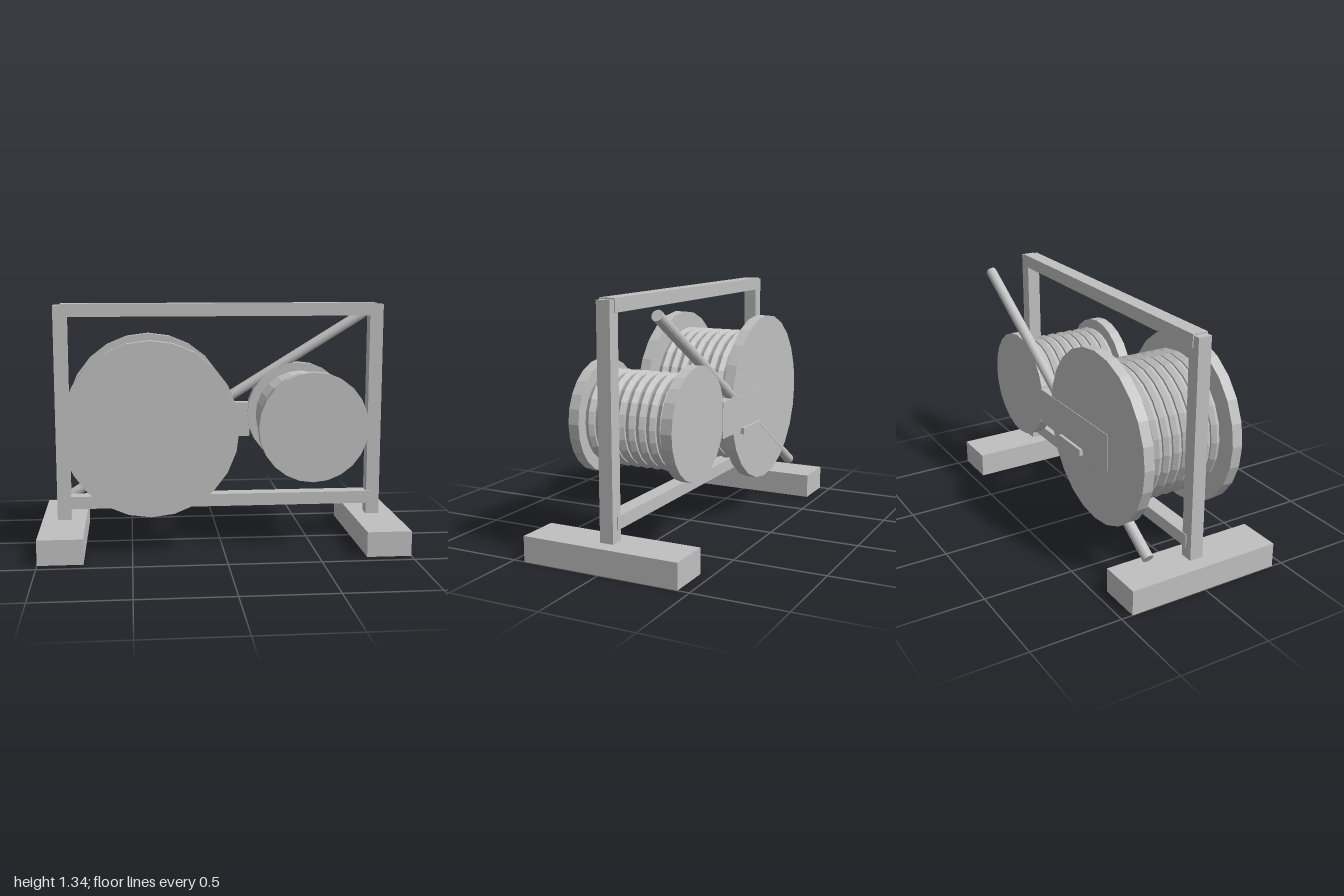
import * as THREE from 'three';

export function createModel() {
  const model = new THREE.Group();
  model.name = 'reelStand';
  const metal = new THREE.MeshStandardMaterial({ color: 0xc0c0c0, flatShading: true });
  metal.name = 'plain grey';

  function add(parent, name, geometry, x, y, z) {
    const mesh = new THREE.Mesh(geometry, metal);
    mesh.name = name;
    mesh.position.set(x, y, z);
    parent.add(mesh);
    return mesh;
  }
  // Box given by its lower and upper corners
  function box(name, a, b) {
    const size = b.map((v, i) => v - a[i]);
    const mid = b.map((v, i) => (v + a[i]) / 2);
    return add(model, name, new THREE.BoxGeometry(...size), ...mid);
  }

  // Feet and posts, mirrored left and right
  for (const s of [1, -1]) {
    const side = s > 0 ? 'left' : 'right';
    add(model, side + 'Foot', new THREE.BoxGeometry(0.243, 0.137, 0.874), s * 0.8785, 0.0685, 0);
    add(model, side + 'Post', new THREE.BoxGeometry(0.075, 1.2, 0.075), s * 0.8775, 0.735, 0);
  }
  // Rails, slightly thicker than the posts
  box('topRail', [-0.875, 1.272, -0.043], [0.875, 1.343, 0.043]);
  box('bottomRail', [-0.875, 0.2, -0.043], [0.875, 0.27, 0.043]);

  // A reel: two flanges, a core and a row of wound rings
  function reel(name, x, flangeRadius, ringRadius) {
    const group = new THREE.Group();
    group.name = name;
    group.position.set(x, 0.685, 0);
    model.add(group);
    for (const s of [1, -1]) {
      const disc = new THREE.CylinderGeometry(flangeRadius, flangeRadius, 0.06, 24).rotateX(Math.PI / 2);
      add(group, s > 0 ? 'frontFlange' : 'backFlange', disc, 0, 0, s * 0.265);
    }
    const core = new THREE.CylinderGeometry(ringRadius, ringRadius, 0.48, 24).rotateX(Math.PI / 2);
    add(group, 'core', core, 0, 0, 0);
    for (let i = 0; i < 8; i++) {
      add(group, 'ring' + (i + 1), new THREE.TorusGeometry(ringRadius, 0.029, 6, 24), 0, 0, (i - 3.5) * 0.0586);
    }
  }
  reel('largeReel', -0.395, 0.475, 0.355);
  reel('smallReel', 0.485, 0.3, 0.226);

  // Slanted rod behind the reels
  const low = new THREE.Vector3(-0.873, 0.2, -0.267);
  const high = new THREE.Vector3(0.87, 1.27, -0.267);
  const along = high.clone().sub(low);
  const rod = add(model, 'rod', new THREE.CylinderGeometry(0.03, 0.03, along.length(), 16),
    ...low.clone().add(high).multiplyScalar(0.5).toArray());
  rod.quaternion.setFromUnitVectors(new THREE.Vector3(0, 1, 0), along.normalize());

  // Back plate joining the reels, with a small ledge below it
  box('backPlate', [-0.53, 0.55, -0.2985], [0.2, 0.75, -0.245]);
  box('ledge', [-0.27, 0.53, -0.315], [-0.04, 0.565, -0.27]);

  return model;
}
